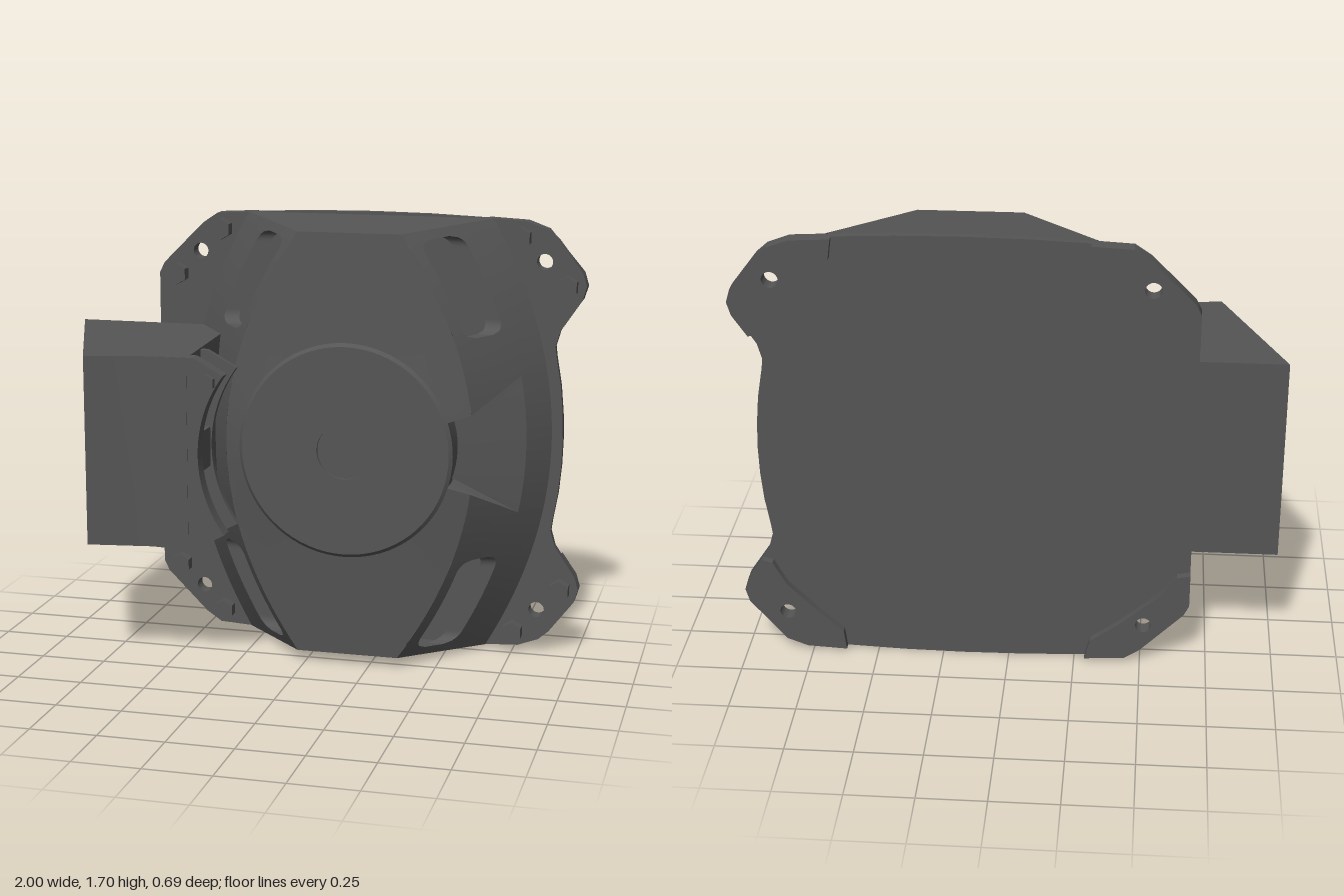
import * as THREE from 'three';
import { toCreasedNormals } from 'three/addons/utils/BufferGeometryUtils.js';

const CX = 0.165, CY = 0.85;
const BACK = -0.29, FRONT = 0.05;
const mix = THREE.MathUtils.lerp;

export function createModel() {
  const root = new THREE.Group();
  root.name = 'roundDriverHousing';
  const mat = new THREE.MeshStandardMaterial({ color: 0x555555, side: THREE.DoubleSide });

  const add = (name, geo, parent = root) => {
    const m = new THREE.Mesh(toCreasedNormals(geo, 0.5), mat);
    m.name = name;
    parent.add(m);
    return m;
  };
  const group = (name) => {
    const g = new THREE.Group();
    g.name = name;
    root.add(g);
    return g;
  };
  // Surface from a rule (u, v) -> [x, y, z]
  const grid = (fn, nu, nv = 1) => {
    const g = new THREE.PlaneGeometry(1, 1, nu, nv);
    const p = g.attributes.position;
    for (let i = 0; i < p.count; i++) p.setXYZ(i, ...fn(p.getX(i) + 0.5, p.getY(i) + 0.5));
    return g;
  };
  // Flat slab from a shape, between two depths
  const slab = (shape, z0, z1) =>
    new THREE.ExtrudeGeometry(shape, { depth: z1 - z0, bevelEnabled: false, curveSegments: 24 }).translate(0, 0, z0);
  const toShape = (pts) => new THREE.Shape(pts.map(([x, y]) => new THREE.Vector2(x, y)));
  const hole = (shape, x, y) => shape.holes.push(new THREE.Path().absarc(x, y, 0.03, 0, Math.PI * 2, true));
  const hexBolt = (name, x, y, z0, z1, r, parent) =>
    add(name, new THREE.CylinderGeometry(r, r, z1 - z0, 6).rotateX(Math.PI / 2).translate(x, y, (z0 + z1) / 2), parent);

  // Mounting plate with four ears
  const half = [[0.925, 0], [0.922, 0.1], [0.912, 0.21], [0.893, 0.32], [0.888, 0.36], [0.905, 0.42], [0.985, 0.54],
    [1, 0.59], [0.985, 0.64], [0.89, 0.765], [0.85, 0.8], [0.77, 0.83], [0.62, 0.838], [0.4, 0.847], [0.17, 0.85],
    [-0.07, 0.847], [-0.29, 0.838], [-0.44, 0.83], [-0.5, 0.79], [-0.66, 0.63], [-0.68, 0.59], [-0.68, 0]];
  const outline = [...half, ...half.slice(1, -1).reverse().map(([x, y]) => [x, -y])].map(([x, y]) => [x, y + CY]);
  const plate = toShape(outline);
  for (const x of [-0.51, 0.84]) for (const s of [-1, 1]) hole(plate, x, CY + s * 0.68);
  add('mountingPlate', slab(plate, -0.32, BACK));

  // Raised pads behind the ears, and bolts in front of them
  const ears = group('ears');
  const pads = [
    { x: 0.84, bolts: [[0.75, 0.77], [0.93, 0.59]],
      pts: [[0.62, 0.838], [0.77, 0.83], [0.85, 0.8], [0.985, 0.64], [1, 0.59], [0.985, 0.54], [0.93, 0.46],
        [0.89, 0.47], [0.84, 0.56], [0.72, 0.68], [0.63, 0.76]] },
    { x: -0.51, bolts: [[-0.42, 0.77], [-0.6, 0.59]],
      pts: [[-0.29, 0.838], [-0.44, 0.83], [-0.5, 0.79], [-0.66, 0.63], [-0.68, 0.59], [-0.68, 0.46],
        [-0.63, 0.47], [-0.56, 0.56], [-0.42, 0.68], [-0.31, 0.76]] },
  ];
  for (const s of [-1, 1]) for (const pad of pads) {
    const shape = toShape(pad.pts.map(([x, y]) => [x, CY + s * y]));
    hole(shape, pad.x, CY + s * 0.68);
    add('earPad', slab(shape, -0.35, -0.32), ears);
    for (const [x, y] of pad.bolts) hexBolt('earBolt', x, CY + s * y, BACK, -0.245, 0.042, ears);
  }

  // Basket wall: s runs from bottom (-1) to top (1), z from plate to front
  const wall = (side, s, z) => {
    const k = (z - BACK) / (FRONT - BACK);
    return [CX + side * (mix(0.718, 0.475, k) - mix(0.24, 0.28, k) * s * s), CY + s * mix(0.838, 0.808, k), z];
  };
  const basket = group('basket');
  const rail = (side, s0, s1, lo, hi, n = 12) =>
    add('basketWall', grid((u, v) => {
      const s = mix(s0, s1, u);
      return wall(side, s, mix(lo(s), hi(s), v));
    }, n, 4), basket);
  const back = () => BACK, front = () => FRONT;

  // Rounded window in each quarter of the wall
  const W0 = 0.52, W1 = 0.96, R = 0.045;
  const inset = (s) => {
    const a = Math.abs(s);
    const d = THREE.MathUtils.clamp(R - 0.82 * Math.min(a - W0, W1 - a), 0, R);
    return R - Math.sqrt(R * R - d * d);
  };
  const winLo = (s) => -0.15 + inset(s), winHi = (s) => 0.01 - inset(s);
  const lip = (side, rule, n) =>
    add('windowLip', grid((u, v) => {
      const [x, y, z] = wall(side, ...rule(u));
      return [x - side * 0.06 * v, y, z];
    }, n), basket);
  for (const side of [-1, 1]) for (const e of [-1, 1]) {
    rail(side, e * W1, e, back, front, 2);
    rail(side, e * W0, e * W1, back, winLo, 40);
    rail(side, e * W0, e * W1, winHi, front, 40);
    for (const edge of [winLo, winHi]) lip(side, (u) => [e * mix(W0, W1, u), edge(mix(W0, W1, u))], 40);
    for (const end of [W0, W1]) lip(side, (u) => [e * end, mix(winLo(end), winHi(end), u)], 1);
    rail(side, e * 0.32, e * W0, back, front, 6);
  }
  rail(-1, -0.32, 0.32, back, front);

  // Flared notch in the left wall
  const N0 = 0.185, N1 = 0.32, NZ = -0.178;
  const notchLine = (s) => mix(FRONT, NZ, (Math.abs(s) - N0) / (N1 - N0));
  rail(1, -N1, N1, back, () => NZ);
  for (const e of [-1, 1]) {
    rail(1, e * N0, e * N1, notchLine, front, 6);
    add('notchCheek', grid((u, v) => {
      const s = e * mix(N0, N1, u);
      const [x, y, z] = wall(1, s, notchLine(s));
      const inner = [mix(0.53, 0.55, u), CY + e * mix(0.15, 0.12, u), mix(0.08, -0.06, u)];
      return [mix(inner[0], x, v), mix(inner[1], y, v), mix(inner[2], z, v)];
    }, 6), basket);
  }
  add('notchFloor', grid((u, v) => {
    const [x, y, z] = wall(1, mix(-N1, N1, u), NZ);
    return [mix(0.54, x, v), mix(CY + mix(-0.12, 0.12, u), y, v), mix(-0.06, z, v)];
  }, 12), basket);

  // Flat top and bottom of the basket
  for (const e of [-1, 1]) {
    add('basketEnd', grid((u, v) => {
      const z = mix(BACK, FRONT, v), a = wall(-1, e, z), b = wall(1, e, z);
      return [mix(a[0], b[0], u), a[1], z];
    }, 1), basket);
  }

  // Shallow cone face from the rim of the basket to the central disc
  const rim = [];
  const onDisc = (x, y, r, z) => {
    const l = Math.hypot(x - CX, y - CY);
    return [CX + (x - CX) / l * r, CY + (y - CY) / l * r, z];
  };
  for (const s of [-1, -0.8, -0.6, -0.45, -0.32, -N0]) rim.push(wall(1, s, FRONT));
  for (const s of [-N0, -0.1, 0, 0.1, N0]) {
    const [x, y] = wall(1, s, FRONT);
    rim.push(onDisc(x, y, 0.395, 0.08));
  }
  for (const s of [N0, 0.32, 0.45, 0.6, 0.8, 1]) rim.push(wall(1, s, FRONT));
  for (let i = 0; i <= 20; i++) rim.push(wall(-1, 1 - i / 10, FRONT));
  rim.push(rim[0]);
  add('basketFace', grid((u, v) => {
    const p = rim[Math.round(u * (rim.length - 1))];
    const q = onDisc(p[0], p[1], 0.38, 0.085);
    return p.map((c, i) => mix(c, q[i], v));
  }, rim.length - 1), basket);

  // Central disc with a shallow round recess
  const profile = [[0, 0.1], [0.105, 0.1], [0.105, 0.112], [0.395, 0.112], [0.408, 0.1], [0.395, 0.075], [0.395, -0.1]];
  add('centreDisc', new THREE.LatheGeometry(profile.map(([r, z]) => new THREE.Vector2(r, z)), 72)
    .rotateX(Math.PI / 2).translate(CX, CY, 0));

  // Side box, slightly tapered toward the front
  const side = group('sideBox');
  const box = new THREE.ExtrudeGeometry(
    toShape([[-1, BACK], [-0.385, BACK], [-0.385, 0.3], [-0.54, 0.3], [-0.77, 0.34]]),
    { depth: 1, bevelEnabled: false }).rotateX(Math.PI / 2);
  const bp = box.attributes.position;
  for (let i = 0; i < bp.count; i++) {
    bp.setY(i, CY + (bp.getY(i) + 0.5) * 2 * mix(0.388, 0.36, (bp.getZ(i) - BACK) / 0.63));
  }
  add('boxBody', box, side);

  // Two flanges with a concave edge that follows the disc
  const flange = toShape([[-0.5, 0.487], [-0.36, 0.487], [-0.246, 0.55]]);
  flange.absarc(CX - 0.005, CY, 0.505, Math.PI + 0.636, Math.PI - 0.636, true);
  flange.lineTo(-0.36, 1.213);
  flange.lineTo(-0.5, 1.213);
  add('frontFlange', slab(flange, 0.24, 0.298), side);
  add('rearFlange', slab(flange, 0.1, 0.125), side);
  add('flangeTab', new THREE.BoxGeometry(0.05, 0.15, 0.1).translate(-0.37, CY, 0.19), side);
  hexBolt('flangeBolt', -0.305, 1.125, 0.298, 0.325, 0.033, side);

  return root;
}
